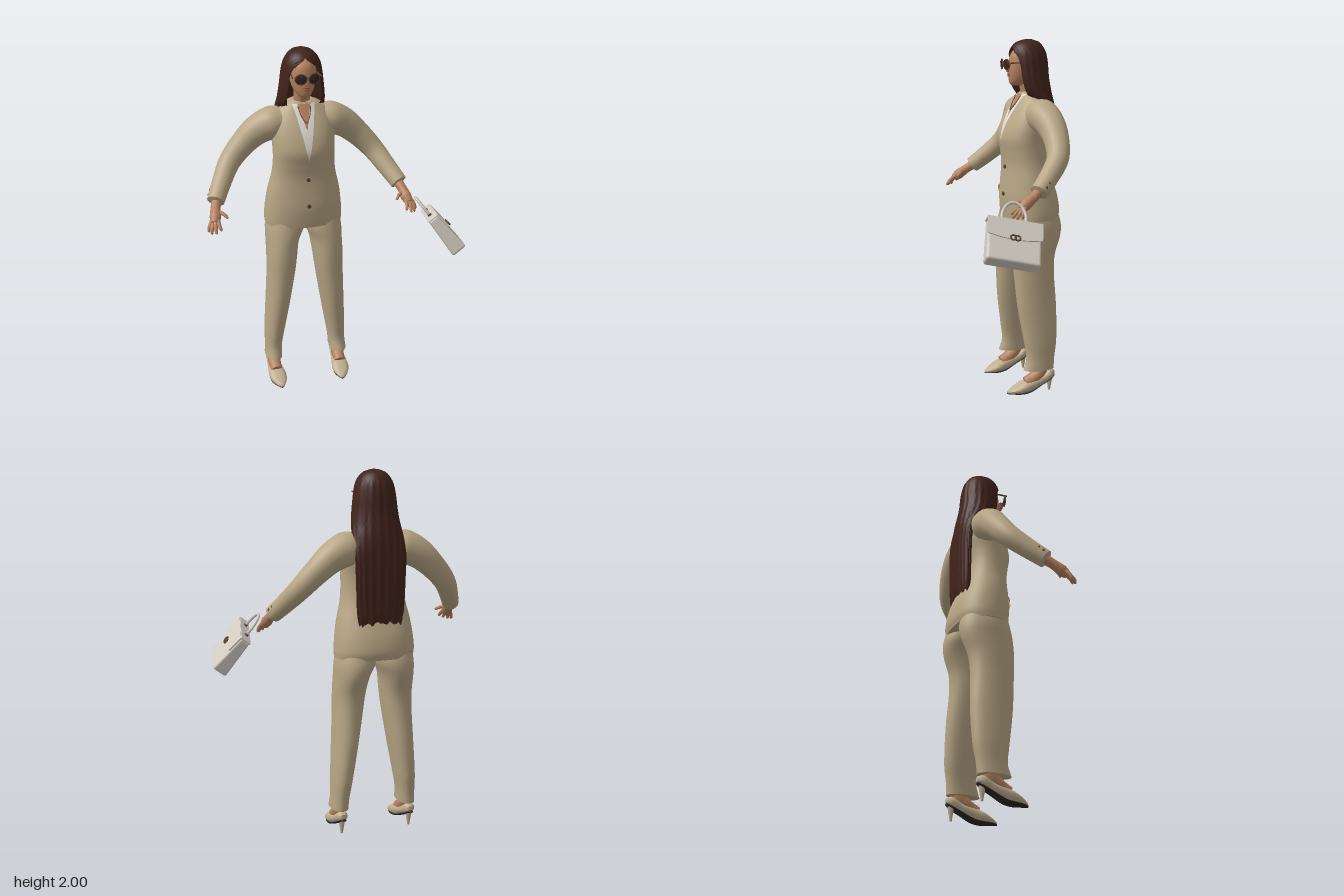
import * as THREE from 'three';
import { mergeVertices, toCreasedNormals } from 'three/addons/utils/BufferGeometryUtils.js';
import { RoundedBoxGeometry } from 'three/addons/geometries/RoundedBoxGeometry.js';

const mat = (name, color, side = THREE.FrontSide) => {
  const m = new THREE.MeshStandardMaterial({ color, side });
  m.name = name;
  return m;
};
const V = (x, y, z) => new THREE.Vector3(x, y, z);

// Smooth interpolation through rows keyed by their first column
function sample(rows, y) {
  let i = 0;
  while (i < rows.length - 2 && y > rows[i + 1][0]) i++;
  const slope = (k, c) => {
    const a = rows[Math.max(0, k - 1)], b = rows[Math.min(rows.length - 1, k + 1)];
    return (b[c] - a[c]) / (b[0] - a[0]);
  };
  const a = rows[i], b = rows[i + 1], h = b[0] - a[0], t = Math.min(1, Math.max(0, (y - a[0]) / h));
  const t2 = t * t, t3 = t2 * t;
  return a.map((v, c) => c === 0 ? y : (2 * t3 - 3 * t2 + 1) * v + (t3 - 2 * t2 + t) * h * slope(i, c)
    + (3 * t2 - 2 * t3) * b[c] + (t3 - t2) * h * slope(i + 1, c));
}

function finish(geo, crease = 1) {
  geo.deleteAttribute('uv');
  geo.deleteAttribute('normal');
  return toCreasedNormals(mergeVertices(geo, 1e-5), crease);
}

// Grid surface from point(i, j); j runs sideways, i upwards
function grid(ni, nj, point, flip) {
  const pos = [], idx = [];
  for (let i = 0; i <= ni; i++) for (let j = 0; j <= nj; j++) pos.push(...point(i, j));
  for (let i = 0; i < ni; i++) for (let j = 0; j < nj; j++) {
    const a = i * (nj + 1) + j, b = a + 1, c = a + nj + 1, d = c + 1;
    idx.push(...(flip ? [a, b, d, a, d, c] : [a, c, b, b, c, d]));
  }
  const g = new THREE.BufferGeometry();
  g.setAttribute('position', new THREE.Float32BufferAttribute(pos, 3));
  g.setIndex(idx);
  return finish(g);
}

// Horizontal sections [y, centreX, halfWidth, zFront, zBack, openAngle], upwards
function loft(rows, { n = 32, steps = 36, p = 2.3, cap = true, warp = (x, y, z) => [x, y, z] } = {}) {
  const pw = v => Math.sign(v) * Math.abs(v) ** (2 / p), y0 = rows[0][0], y1 = rows.at(-1)[0];
  return grid(steps + 2, n, (i, j) => {
    const k = Math.min(steps, Math.max(0, i - 1)), tip = cap && (i === 0 || i === steps + 2) ? 0 : 1;
    const [y, cx, hw, zf, zb, A = Math.PI] = sample(rows, y0 + (y1 - y0) * k / steps);
    const a = (j / n * 2 - 1) * Math.min(A, Math.PI);
    return warp(cx + tip * hw * pw(Math.sin(a)), y, (zf + zb) / 2 - tip * (zf - zb) / 2 * pw(Math.cos(a)), a);
  });
}

// Tube along points with a radius at each point
function limb(points, radii, seg = 28, n = 18) {
  const curve = new THREE.CatmullRomCurve3(points.map(q => V(...q)));
  const g = new THREE.TubeGeometry(curve, seg, 1, n), P = g.attributes.position, v = V();
  for (let i = 0; i <= seg; i++) {
    const u = i / seg, c = curve.getPointAt(u), f = curve.getUtoTmapping(u) * (radii.length - 1);
    const k = Math.min(radii.length - 2, Math.floor(f));
    const r = i % seg === 0 ? 0 : THREE.MathUtils.lerp(radii[k], radii[k + 1], f - k);
    for (let j = 0; j <= n; j++) {
      const q = i * (n + 1) + j;
      v.fromBufferAttribute(P, q).sub(c).multiplyScalar(r).add(c);
      P.setXYZ(q, v.x, v.y, v.z);
    }
  }
  return finish(g);
}

const TORSO = [
  [1.0, 0, .22, -.055, -.345], [1.04, 0, .222, -.05, -.355], [1.12, 0, .215, -.045, -.345],
  [1.2, 0, .203, -.05, -.32], [1.3, 0, .18, -.055, -.29], [1.38, 0, .172, -.045, -.28],
  [1.45, 0, .172, -.035, -.285], [1.53, 0, .175, -.055, -.3], [1.6, 0, .168, -.088, -.305],
  [1.65, 0, .148, -.118, -.3], [1.69, 0, .105, -.14, -.28], [1.71, 0, .06, -.15, -.26]];

function torsoFront(x, y) {
  const [, , hw, zf, zb] = sample(TORSO, y);
  return (zf + zb) / 2 + (zf - zb) / 2 * (1 - Math.min(1, Math.abs(x / hw)) ** 2.3) ** (1 / 2.3);
}

// Thin cloth plate lying on the front of the torso
const panel = (y0, y1, left, right, off) => grid(24, 10, (i, j) => {
  const y = y0 + (y1 - y0) * i / 24, x = THREE.MathUtils.lerp(left(y), right(y), j / 10);
  return [x, y, torsoFront(x, y) + off];
}, true);

export function createModel() {
  const root = new THREE.Group(), body = new THREE.Group();
  root.name = 'woman';
  body.name = 'body';
  body.position.x = -.125;
  root.add(body);
  const suit = mat('suit beige', 0xb8a685, THREE.DoubleSide), skin = mat('skin', 0xb5825f);
  const hair = mat('hair brown', 0x41231b, THREE.DoubleSide), shirt = mat('shirt white', 0xdedad2, THREE.DoubleSide);
  const leather = mat('bag ivory', 0xd0cac0), lens = mat('lens brown', 0x3a221b), metal = mat('dark bronze', 0x5a4433);
  const shoe = mat('shoe cream', 0xbfae90), sole = mat('sole black', 0x2c2825), lip = mat('lips', 0x97594a);
  const add = (parent, name, geo, m, pos = [0, 0, 0], rot = [0, 0, 0], scale = [1, 1, 1]) => {
    const mesh = new THREE.Mesh(geo, m);
    mesh.name = name;
    mesh.position.set(...pos);
    mesh.rotation.set(...rot);
    mesh.scale.set(...scale);
    parent.add(mesh);
    return mesh;
  };
  const ball = new THREE.SphereGeometry(1, 20, 14);

  // Jacket, shirt and lapels
  add(body, 'jacket', loft(TORSO, { n: 48, steps: 50 }), suit);
  const v = y => Math.max(0, .062 * (y - 1.4) / .3);
  add(body, 'shirt', panel(1.4, 1.7, y => -v(y), v, .004), shirt);
  const w = y => .036 * (y - 1.57) / .13;
  add(body, 'chest', panel(1.57, 1.7, y => -w(y), w, .007), skin);
  const lapelOut = y => v(y) + .052 * Math.min(1, (y - 1.38) / .17) - (y > 1.6 && y < 1.62 ? .02 : 0);
  const buttonGeo = new THREE.CylinderGeometry(.011, .011, .008, 16);
  for (const y of [1.29, 1.135]) add(body, 'button', buttonGeo, metal, [0, y, torsoFront(0, y) + .003], [Math.PI / 2, 0, 0]);
  const chain = new THREE.CatmullRomCurve3([-.036, -.022, 0, .022, .036].map((x, i) => {
    const y = [1.69, 1.64, 1.61, 1.64, 1.69][i];
    return V(x, y, torsoFront(x, y) + .01);
  }));
  add(body, 'necklace', new THREE.TubeGeometry(chain, 20, .0025, 6), metal);

  // Head and neck
  add(body, 'neck', limb([[0, 1.62, -.215], [0, 1.7, -.195], [0, 1.8, -.18]], [.06, .045, .045]), skin);
  add(body, 'head', loft([
    [1.744, 0, .02, -.095, -.15], [1.758, 0, .037, -.082, -.19], [1.785, 0, .055, -.077, -.23],
    [1.82, 0, .066, -.075, -.26], [1.87, 0, .073, -.079, -.275], [1.92, 0, .069, -.092, -.275],
    [1.96, 0, .05, -.13, -.25], [1.985, 0, .01, -.17, -.2]], { p: 2.1 }), skin);
  add(body, 'nose', ball, skin, [0, 1.842, -.075], [-.3, 0, 0], [.012, .026, .016]);
  add(body, 'upperLip', ball, lip, [0, 1.807, -.075], [0, 0, 0], [.02, .005, .006]);
  add(body, 'lowerLip', ball, lip, [0, 1.799, -.076], [0, 0, 0], [.017, .006, .006]);

  // Long hair, open around the face
  const H = Math.PI;
  add(body, 'hair', loft([
    [1.19, 0, .118, -.285, -.32, H], [1.25, 0, .13, -.277, -.328, H], [1.45, 0, .138, -.275, -.332, H],
    [1.58, 0, .142, -.26, -.33, H], [1.66, 0, .139, -.175, -.325, 2.6], [1.72, 0, .131, -.11, -.316, 2.35],
    [1.78, 0, .123, -.09, -.306, 2.32], [1.86, 0, .113, -.083, -.3, 2.35], [1.9, 0, .106, -.083, -.295, 2.47],
    [1.93, 0, .097, -.086, -.288, 2.75], [1.96, 0, .081, -.1, -.273, H], [1.985, 0, .054, -.127, -.25, H],
    [1.997, 0, .02, -.165, -.215, H]], {
    n: 84, steps: 70, p: 2.1,
    warp: (x, y, z, a) => {
      const r = y < 1.95 ? .012 * Math.sin(a * 19) : 0;
      return [x * (1 + r), y + (y < 1.23 ? .016 * Math.sin(a * 11) : 0), z + (z + .2) * r * 1.5];
    } }), hair);

  for (const s of [1, -1]) {
    const side = new THREE.Group();
    side.name = s > 0 ? 'leftSide' : 'rightSide';
    body.add(side);
    const mir = pts => pts.map(([x, y, z]) => [x * s, y, z]);

    // Lapel and pocket flap
    const span = (f, g) => s > 0 ? [f, g] : [y => -g(y), y => -f(y)];
    add(side, 'lapel', panel(1.39, 1.69, ...span(v, lapelOut), .009), suit);
    add(side, 'pocketFlap', panel(1.135, 1.162, ...span(() => .085, () => .18), .008), suit);

    // Sleeve with cuff buttons
    add(side, 'sleeve', limb(mir([[.07, 1.59, -.2], [.16, 1.585, -.21], [.24, 1.55, -.222], [.325, 1.478, -.222],
      [.41, 1.385, -.195], [.47, 1.3, -.12], [.525, 1.218, -.03]]), [.07, .095, .083, .07, .06, .053, .047], 40, 24), suit);
    for (const k of [0, 1]) add(side, 'cuffButton', ball, metal,
      [s * (.548 - k * .013), 1.257 + k * .02, -.07 - k * .02], [0, 0, 0], [.009, .009, .009]);

    // Hand
    add(side, 'palm', limb(mir([[.51, 1.235, -.05], [.528, 1.2, .0], [.536, 1.172, .04], [.545, 1.145, .072]]),
      [.028, .026, .031, .022]), skin);
    const fingers = [
      [[.555, 1.165, .05], [.575, 1.13, .07], [.58, 1.103, .078]], [[.55, 1.157, .06], [.565, 1.122, .092], [.566, 1.1, .105]],
      [[.54, 1.16, .066], [.545, 1.128, .102], [.543, 1.105, .118]], [[.527, 1.165, .062], [.523, 1.14, .1], [.515, 1.118, .115]],
      [[.522, 1.195, .02], [.492, 1.185, .045], [.47, 1.168, .07]]];
    for (const f of fingers) add(side, 'finger', limb(mir(f), [.012, .01, .007], 12, 8), skin);

    // Trouser leg
    add(side, 'trouserLeg', loft([
      [.135, .1975, .049, -.093, -.275], [.2, .1935, .0485, -.112, -.28], [.3, .185, .056, -.1, -.295],
      [.5, .1625, .068, -.07, -.3], [.7, .142, .08, -.055, -.292], [.8, .135, .086, -.05, -.3],
      [.9, .126, .093, -.053, -.335], [.97, .11, .108, -.06, -.343], [1.06, .1, .1, -.08, -.32]]
      .map(([y, x, ...r]) => [y, x * s, ...r]), { p: 2.2 }), suit);

    // Pointed pump: sections along z are [z, centreX, halfWidth, bottom, top]
    const foot = [[-.277, .199, .016, .085, .118], [-.25, .199, .034, .068, .128], [-.2, .198, .037, .045, .1],
      [-.13, .196, .045, .012, .082], [-.08, .193, .05, .004, .064], [-.04, .19, .04, .004, .042], [0, .186, .014, .004, .02],
      [.006, .185, .005, .005, .014]];
    const along = (f) => loft(foot.map(f), { n: 24, steps: 28 }).rotateX(Math.PI / 2);
    add(side, 'shoe', along(([z, x, h, b, t]) => [z, x * s, h, -b, -t]), shoe);
    add(side, 'sole', along(([z, x, h, b]) => [z, x * s, h * .85, -b + .004, -b - .008]), sole);
    add(side, 'heel', new THREE.CylinderGeometry(.02, .006, .085, 12), shoe, [.199 * s, .0425, -.25]);
    add(side, 'foot', limb(mir([[.198, .24, -.2], [.198, .14, -.205], [.197, .09, -.165], [.195, .055, -.1]]),
      [.034, .034, .038, .034]), skin);

    // Sunglasses
    add(side, 'lens', ball, lens, [.036 * s, 1.863, -.049], [0, .22 * s, 0], [.031, .028, .006]);
    add(side, 'lensRim', new THREE.TorusGeometry(.031, .003, 8, 28), metal, [.036 * s, 1.863, -.049], [0, .22 * s, 0], [1, .9, 1]);
    add(side, 'temple', new THREE.BoxGeometry(.005, .007, .1), metal, [.074 * s, 1.872, -.105], [0, .1 * s, 0]);
  }
  add(body, 'glassesBridge', new THREE.BoxGeometry(.016, .005, .005), metal, [0, 1.87, -.046]);

  // Handbag, tapered towards the top and hanging at a tilt
  const bag = new THREE.Group();
  bag.name = 'handbag';
  const up = V(-.59, .76, -.28).normalize(), out = V(.2, -.22, -.95).cross(up).normalize();
  bag.quaternion.setFromRotationMatrix(new THREE.Matrix4().makeBasis(up.clone().cross(out), up, out));
  bag.position.set(.58, 1.01, .18);
  root.add(bag);
  const shell = new RoundedBoxGeometry(.28, .24, .09, 4, .014), P = shell.attributes.position;
  for (let i = 0; i < P.count; i++) P.setZ(i, P.getZ(i) * (.8 - P.getY(i) * 1.6));
  shell.computeVertexNormals();
  add(bag, 'bagBody', shell, leather);
  const f = new THREE.Shape();
  f.moveTo(-.145, .1);
  f.lineTo(-.145, .01);
  f.quadraticCurveTo(-.142, -.005, -.12, -.005);
  f.quadraticCurveTo(0, -.03, .12, -.005);
  f.quadraticCurveTo(.142, -.005, .145, .01);
  f.lineTo(.145, .1);
  const flapGeo = new THREE.ExtrudeGeometry(f, { depth: .007, bevelEnabled: false });
  add(bag, 'bagFlap', flapGeo, leather, [0, .022, .037], [-.072, 0, 0]);
  add(bag, 'bagTop', new RoundedBoxGeometry(.29, .008, .064, 2, .003), leather, [0, .121, .003]);
  for (const s of [1, -1]) {
    add(bag, 'claspRing', new THREE.TorusGeometry(.014, .0045, 8, 20), metal, [.011 * s, .012, .05], [-.072, 0, 0]);
    add(bag, 'handleMount', new THREE.CylinderGeometry(.01, .012, .014, 12), metal, [.065 * s, .128, 0]);
  }
  const arc = new THREE.CatmullRomCurve3([[-.065, .125], [-.06, .18], [-.035, .225], [0, .24], [.035, .225], [.06, .18], [.065, .125]]
    .map(([x, y]) => V(x, y, 0)));
  add(bag, 'bagHandle', new THREE.TubeGeometry(arc, 36, .008, 10), leather);
  return root;
}
